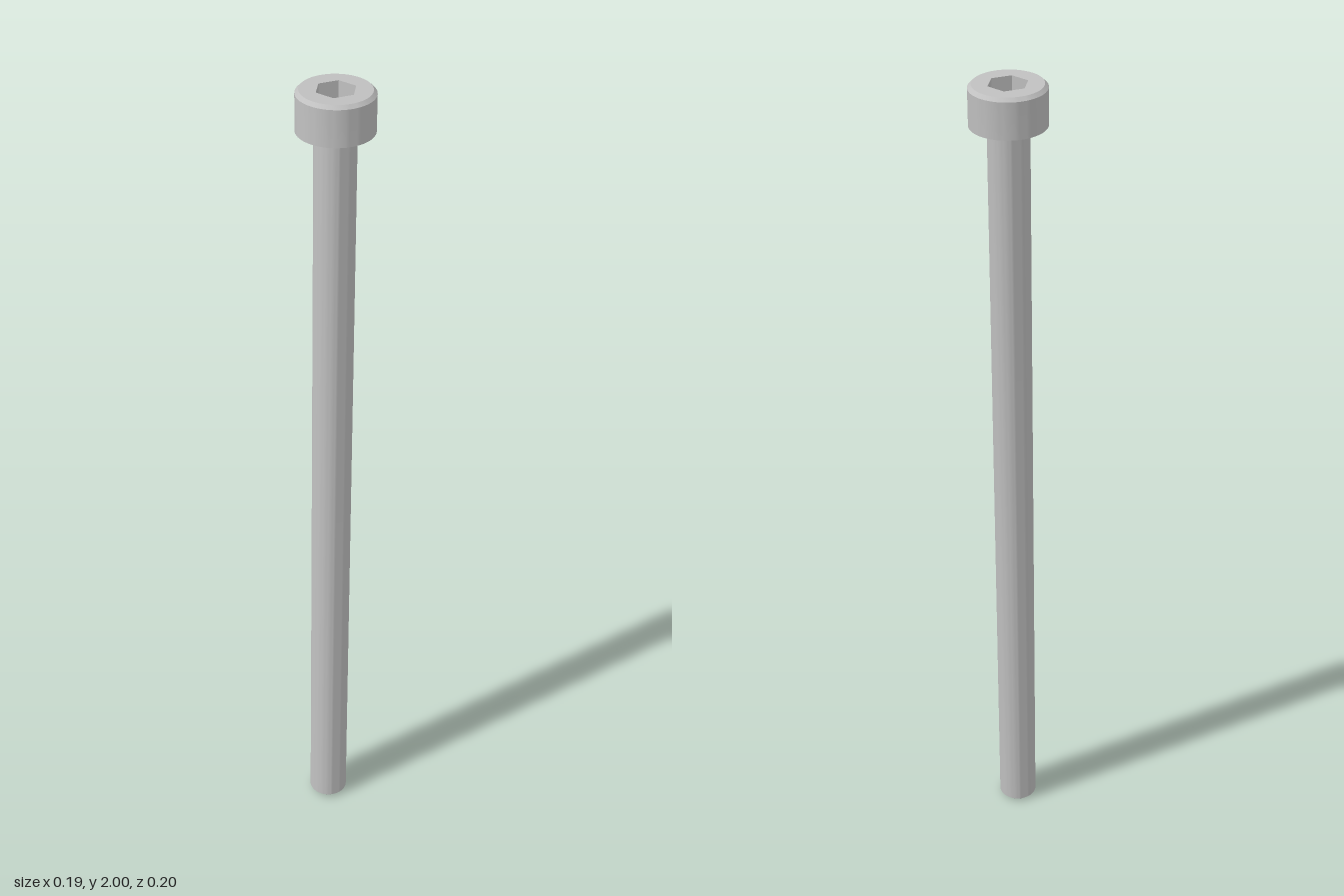
import * as THREE from 'three';
import { toCreasedNormals } from 'three/addons/utils/BufferGeometryUtils.js';

const LENGTH = 1.995;       // along the tilted axis
const HEAD_BOTTOM = 1.902;
const HEAD_R = 0.087;
const SHAFT_R = 0.047;
const CHAMFER = 0.008;
const HEX_R = 0.046;        // socket radius to a corner
const SOCKET_DEPTH = 0.045;

// turned part from [radius, height] pairs, with sharp edges kept
function turned(points, segments = 64, start = 0) {
  const profile = points.map(([r, y]) => new THREE.Vector2(r, y));
  return toCreasedNormals(new THREE.LatheGeometry(profile, segments, start), 0.5);
}

export function createModel() {
  const steel = new THREE.MeshStandardMaterial({ color: 0xc0c0c0 });
  steel.name = 'steel grey';

  const model = new THREE.Group();
  model.name = 'socketHeadScrew';
  const screw = new THREE.Group();
  screw.name = 'tiltedScrew';
  model.add(screw);

  const add = (name, geometry) => {
    const mesh = new THREE.Mesh(geometry, steel);
    mesh.name = name;
    screw.add(mesh);
    return mesh;
  };

  // long shaft with a chamfered tip
  add('shaft', turned([
    [0, 0], [SHAFT_R - CHAMFER, 0], [SHAFT_R, CHAMFER], [SHAFT_R, HEAD_BOTTOM],
  ]));

  // cylindrical head: underside, wall and top chamfer
  add('head', turned([
    [SHAFT_R, HEAD_BOTTOM], [HEAD_R, HEAD_BOTTOM],
    [HEAD_R, LENGTH - CHAMFER], [HEAD_R - CHAMFER, LENGTH],
  ]));

  // flat top with a hexagonal opening
  const top = new THREE.Shape().absarc(0, 0, HEAD_R - CHAMFER, 0, Math.PI * 2);
  const corners = [];
  for (let i = 0; i < 6; i++) {
    const a = (i * Math.PI) / 3 - 0.03;
    corners.push(new THREE.Vector2(HEX_R * Math.cos(a), HEX_R * Math.sin(a)));
  }
  top.holes.push(new THREE.Path(corners));
  add('headTop', new THREE.ShapeGeometry(top, 32).rotateX(-Math.PI / 2).translate(0, LENGTH, 0));

  // six inward-facing socket walls
  const floorY = LENGTH - SOCKET_DEPTH;
  add('socketWalls', turned([[HEX_R, LENGTH], [HEX_R, floorY]], 6, Math.PI / 6)).rotation.y = -0.03;

  // conical socket floor trimmed to the hexagon
  const floor = new THREE.CircleGeometry(1, 48).rotateX(-Math.PI / 2);
  const p = floor.attributes.position;
  const flat = HEX_R * Math.cos(Math.PI / 6);
  const slope = 0.5;
  for (let i = 0; i < p.count; i++) {
    const x = p.getX(i), z = p.getZ(i);
    const a = (Math.atan2(z, x) + Math.PI * 2 + 1e-6) % (Math.PI / 3);
    const r = Math.hypot(x, z) * flat / Math.cos(a - Math.PI / 6);
    p.setXYZ(i, x * r, floorY + slope * (r - flat), z * r);
  }
  floor.computeVertexNormals();
  add('socketFloor', floor).rotation.y = -0.03;

  // lean the whole screw from its tip to its head
  const tip = new THREE.Vector3(-0.048, 0.0017, 0.052);
  const crown = new THREE.Vector3(0.006, 1.9966, -0.014);
  screw.position.copy(tip);
  screw.quaternion.setFromUnitVectors(new THREE.Vector3(0, 1, 0), crown.sub(tip).normalize());
  return model;
}
